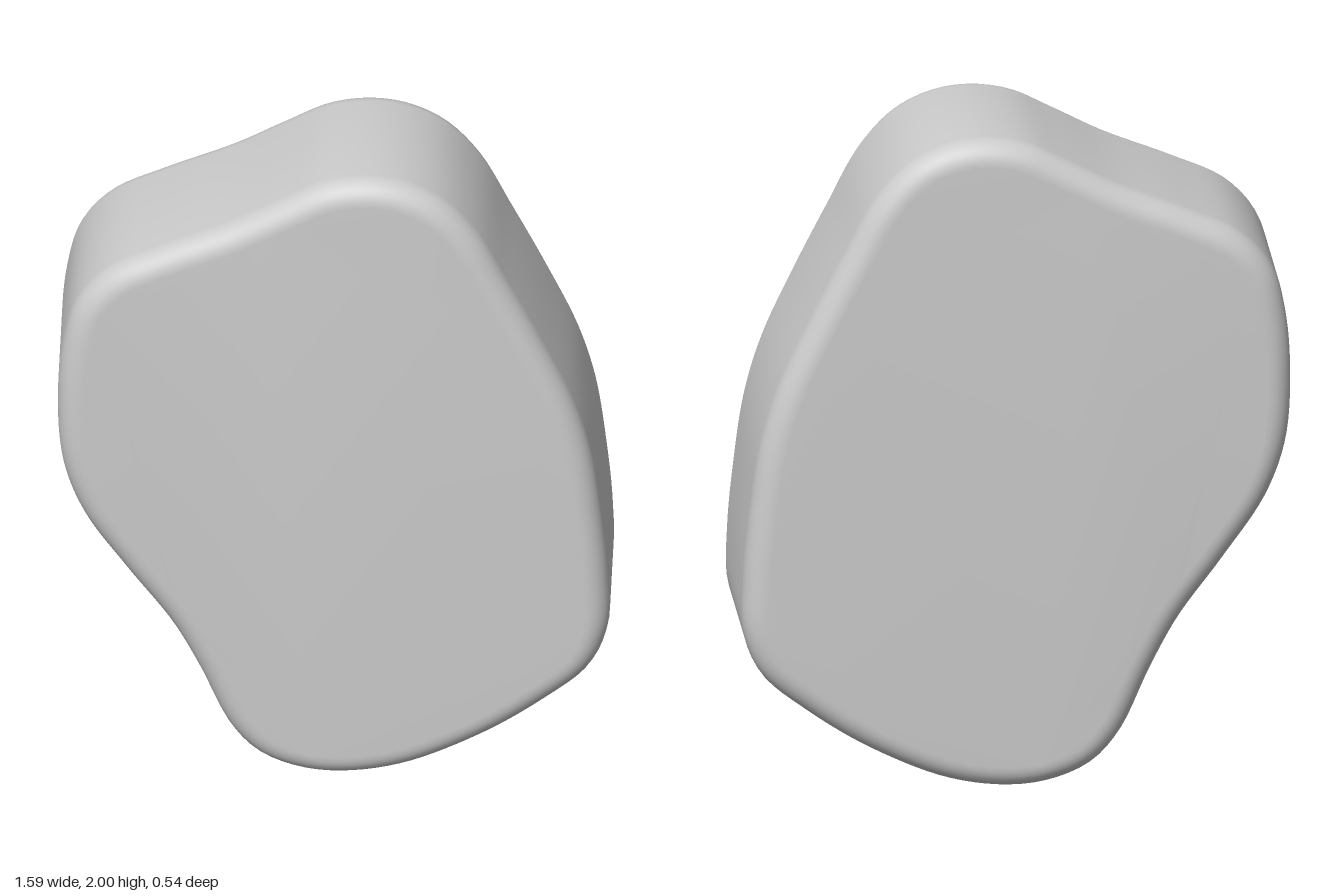
import * as THREE from 'three';
import { toCreasedNormals } from 'three/addons/utils/BufferGeometryUtils.js';

const HALF_DEPTH = 0.272;
const BEVEL = 0.07;

// Outline of the slab, counter-clockwise from the bottom
const OUTLINE = [
  [0.02, 0], [0.2, 0.03], [0.42, 0.13], [0.6, 0.25], [0.735, 0.37],
  [0.788, 0.5], [0.79, 0.66], [0.77, 0.88], [0.74, 1.08], [0.69, 1.25],
  [0.6, 1.45], [0.5, 1.65], [0.41, 1.82], [0.31, 1.93], [0.2, 1.985],
  [0.09, 2], [-0.03, 1.98], [-0.15, 1.92], [-0.3, 1.84], [-0.5, 1.755],
  [-0.65, 1.68], [-0.74, 1.575], [-0.782, 1.42], [-0.795, 1.2],
  [-0.778, 1.02], [-0.72, 0.86], [-0.6, 0.68], [-0.47, 0.5],
  [-0.39, 0.35], [-0.3, 0.155], [-0.22, 0.065], [-0.11, 0.015],
];

export function createModel() {
  const group = new THREE.Group();
  group.name = 'pebbleSlab';

  // Smooth closed curve through the outline
  const curve = new THREE.CatmullRomCurve3(
    OUTLINE.map(([x, y]) => new THREE.Vector3(x, y, 0)), true, 'centripetal');
  const points = curve.getSpacedPoints(160).slice(0, -1)
    .map((p) => new THREE.Vector2(p.x, p.y));

  // Thick slab with rounded rims; the bevel is taken inside the outline
  const geometry = new THREE.ExtrudeGeometry(new THREE.Shape(points), {
    depth: 2 * (HALF_DEPTH - BEVEL),
    bevelEnabled: true,
    bevelThickness: BEVEL,
    bevelSize: BEVEL,
    bevelOffset: -BEVEL,
    bevelSegments: 8,
  });
  geometry.translate(0, 0, BEVEL - HALF_DEPTH);

  const slab = new THREE.Mesh(
    toCreasedNormals(geometry, 0.6),
    new THREE.MeshStandardMaterial({ color: 0xcccccc }));
  slab.name = 'slab';
  group.add(slab);
  return group;
}
